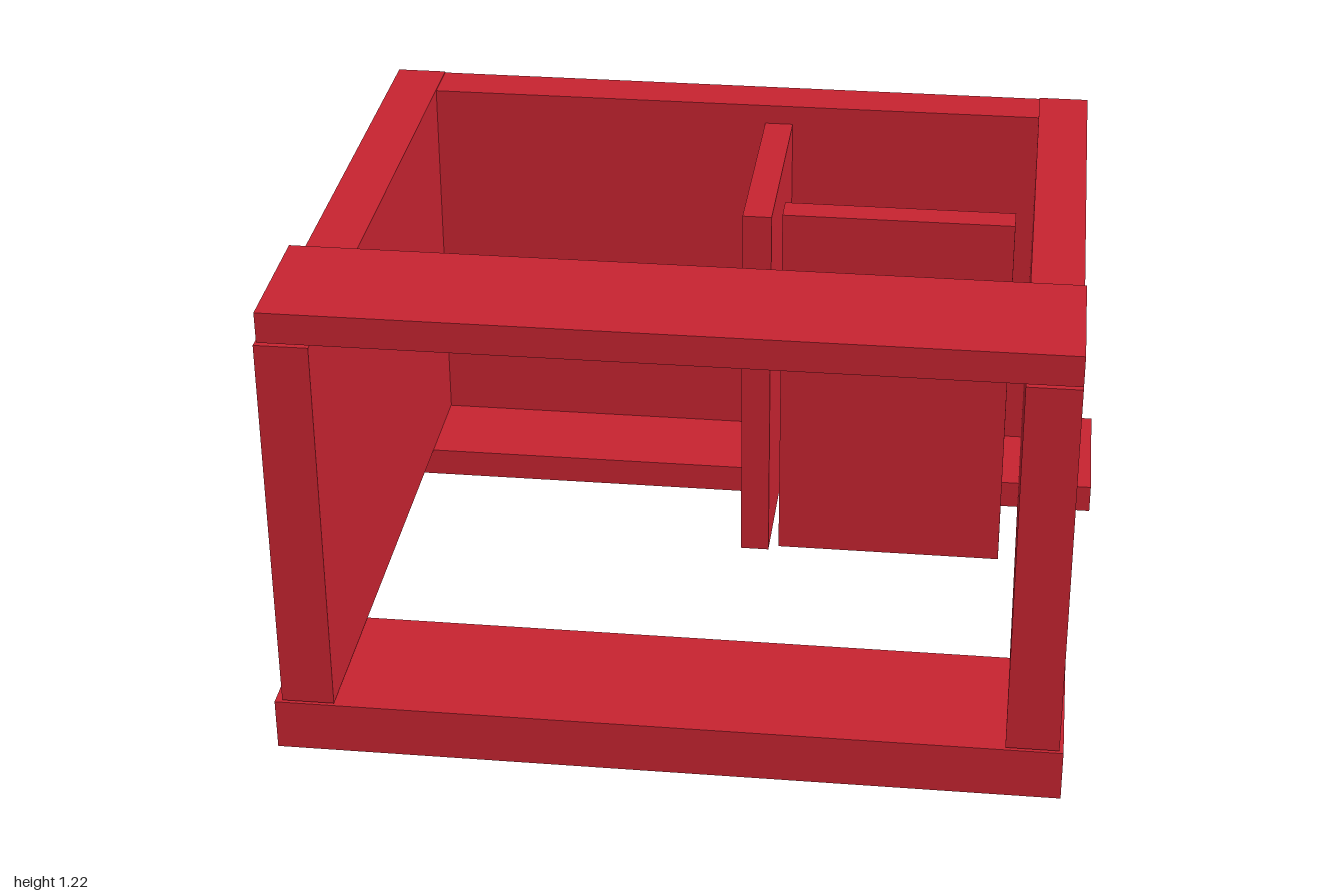
import * as THREE from 'three';

export function createModel() {
  const group = new THREE.Group();
  const material = new THREE.MeshStandardMaterial({ color: 0xc92431, flatShading: true });

  // Board given by its [min, max] extent on each axis
  function board(name, [x0, x1], [y0, y1], [z0, z1]) {
    const mesh = new THREE.Mesh(new THREE.BoxGeometry(x1 - x0, y1 - y0, z1 - z0), material);
    mesh.position.set((x0 + x1) / 2, (y0 + y1) / 2, (z0 + z1) / 2);
    mesh.name = name;
    group.add(mesh);
    return mesh;
  }

  // Side and back walls
  board('rightWall', [-0.98, -0.85], [0.14, 1.13], [-0.83, 0.83]);
  board('leftWall', [0.80, 0.93], [0.14, 1.13], [-0.83, 0.83]);
  board('backWall', [-0.85, 0.80], [0.138, 1.127], [-0.83, -0.70]);

  // Bottom planks
  board('frontBottomPlank', [-1.0, 0.94], [0, 0.133], [0.43, 0.83]);
  board('backBottomPlank', [-0.92, 1.0], [0.062, 0.138], [-0.83, -0.437]);

  // Top plank, resting with a very slight tilt
  const top = board('frontTopPlank', [-0.972, 0.93], [1.139, 1.217], [0.481, 0.829]);
  top.rotation.x = 0.013;

  // Inner partitions
  board('partition', [0.06, 0.135], [0.08, 1.075], [-0.70, -0.105]);
  board('innerPanel', [0.16, 0.755], [0.075, 1.07], [-0.21, -0.133]);

  return group;
}
